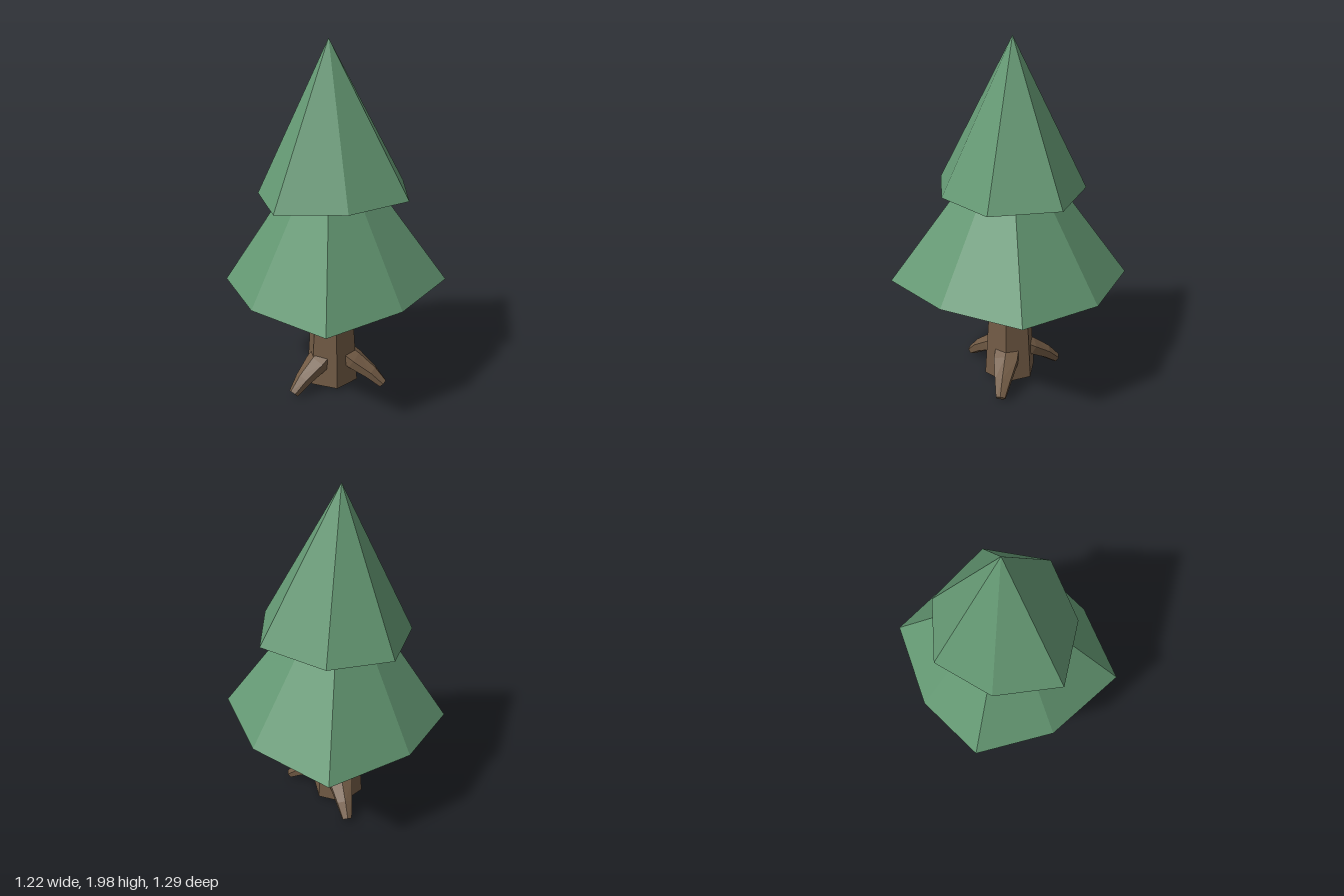
import * as THREE from 'three';
import { ConvexGeometry } from 'three/addons/geometries/ConvexGeometry.js';

const needleGreen = new THREE.MeshStandardMaterial({ color: 0x649873 });
needleGreen.name = 'needleGreen';
const barkBrown = new THREE.MeshStandardMaterial({ color: 0x725b45 });
barkBrown.name = 'barkBrown';

// Faceted normals for a low-poly look
function faceted(geometry) {
  const flat = geometry.toNonIndexed();
  flat.computeVertexNormals();
  return flat;
}

function part(name, geometry, material) {
  const mesh = new THREE.Mesh(geometry, material);
  mesh.name = name;
  return mesh;
}

// A closed, uneven pyramid: an apex over a rim of [x, z] corners on a tilted plane
function foliageTier(name, apex, rim, height, tiltX, tiltZ) {
  const points = rim.map(([x, z]) => new THREE.Vector3(x, height + tiltX * x + tiltZ * z, z));
  points.push(new THREE.Vector3(...apex));
  return part(name, new ConvexGeometry(points), needleGreen);
}

// Six-sided root swept along [distance, height, half thickness, half width] stations
function rootGeometry() {
  const stations = [
    [0.06, 0.215, 0.05, 0.068],
    [0.13, 0.17, 0.052, 0.068],
    [0.232, 0.103, 0.042, 0.045],
    [0.306, 0.038, 0.028, 0.026],
  ];
  const last = stations.length - 1;
  const geometry = new THREE.CylinderGeometry(1, 1, 1, 6, last);
  const pos = geometry.attributes.position;
  for (let i = 0; i < pos.count; i++) {
    const k = Math.round((pos.getY(i) + 0.5) * last);
    const [d, h, thick, wide] = stations[k];
    const from = stations[Math.max(k - 1, 0)], to = stations[Math.min(k + 1, last)];
    const along = new THREE.Vector2(to[0] - from[0], to[1] - from[1]).normalize();
    const lift = pos.getZ(i) * thick;
    pos.setXYZ(i, d - along.y * lift, h + along.x * lift, pos.getX(i) * wide / 0.866);
  }
  return faceted(geometry);
}

export function createModel() {
  const tree = new THREE.Group();
  tree.name = 'pineTree';

  // Tapered hexagonal trunk
  const trunk = part('trunk', faceted(new THREE.CylinderGeometry(0.11, 0.157, 0.7, 6)), barkBrown);
  trunk.rotation.y = Math.PI / 6;
  trunk.position.set(-0.01, 0.385, 0);
  tree.add(trunk);

  // Three bent roots spread evenly round the trunk
  const root = rootGeometry();
  for (let i = 0; i < 3; i++) {
    const mesh = part('root' + (i + 1), root, barkBrown);
    mesh.rotation.y = i * Math.PI * 2 / 3;
    tree.add(mesh);
  }

  // Wide lower tier and narrower upper tier
  tree.add(foliageTier('lowerFoliage', [-0.02, 1.57, 0], [
    [-0.17, -0.65], [0.3, -0.515], [0.61, -0.165], [0.47, 0.285],
    [0.18, 0.645], [-0.295, 0.47], [-0.61, 0.135], [-0.5, -0.275],
  ], 0.664, 0.037, -0.005));
  tree.add(foliageTier('upperFoliage', [-0.03, 2, -0.01], [
    [-0.08, -0.41], [0.31, -0.32], [0.43, 0.04], [0.19, 0.33],
    [-0.17, 0.43], [-0.39, 0.13], [-0.38, -0.22],
  ], 1.19, 0.01, -0.015));

  return tree;
}
